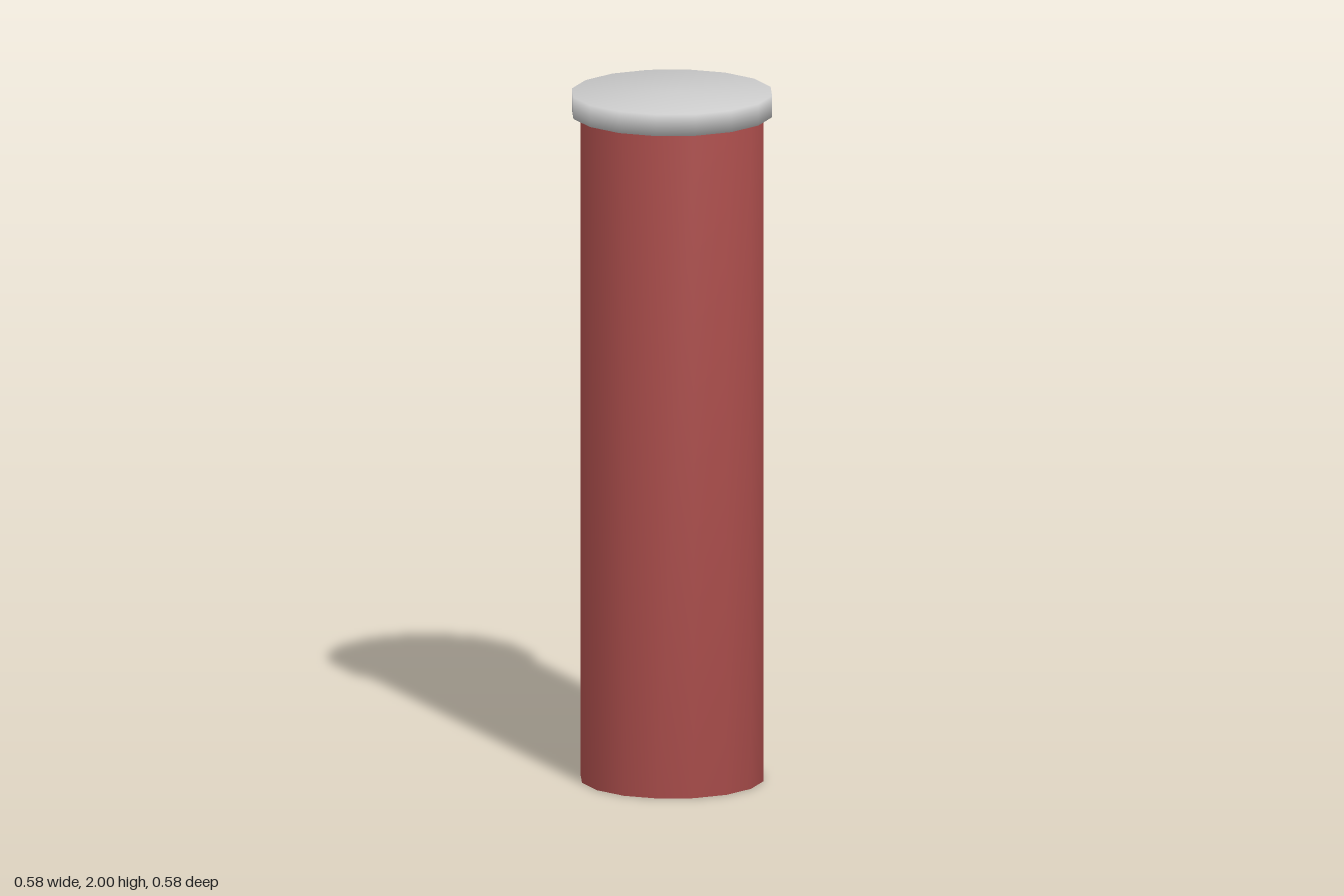
import * as THREE from 'three';
import { mergeVertices } from 'three/addons/utils/BufferGeometryUtils.js';

const SIDES = 16;

// Closed cylinder from y0 to y1 whose normals run smoothly over the rims
function softCylinder(name, radius, y0, y1, color) {
  let geometry = new THREE.CylinderGeometry(radius, radius, y1 - y0, SIDES);
  geometry.deleteAttribute('normal');
  geometry.deleteAttribute('uv');
  geometry = mergeVertices(geometry, 1e-4);
  geometry.computeVertexNormals();
  const mesh = new THREE.Mesh(geometry, new THREE.MeshStandardMaterial({ color }));
  mesh.name = name;
  mesh.position.y = (y0 + y1) / 2;
  return mesh;
}

export function createModel() {
  const group = new THREE.Group();
  group.name = 'cappedCylinder';

  // Long red case
  group.add(softCylinder('body', 0.263, 0, 1.94, 0xaa4d4b));

  // Thin wider cap on top
  group.add(softCylinder('cap', 0.288, 1.937, 2, 0xcccccc));

  return group;
}
